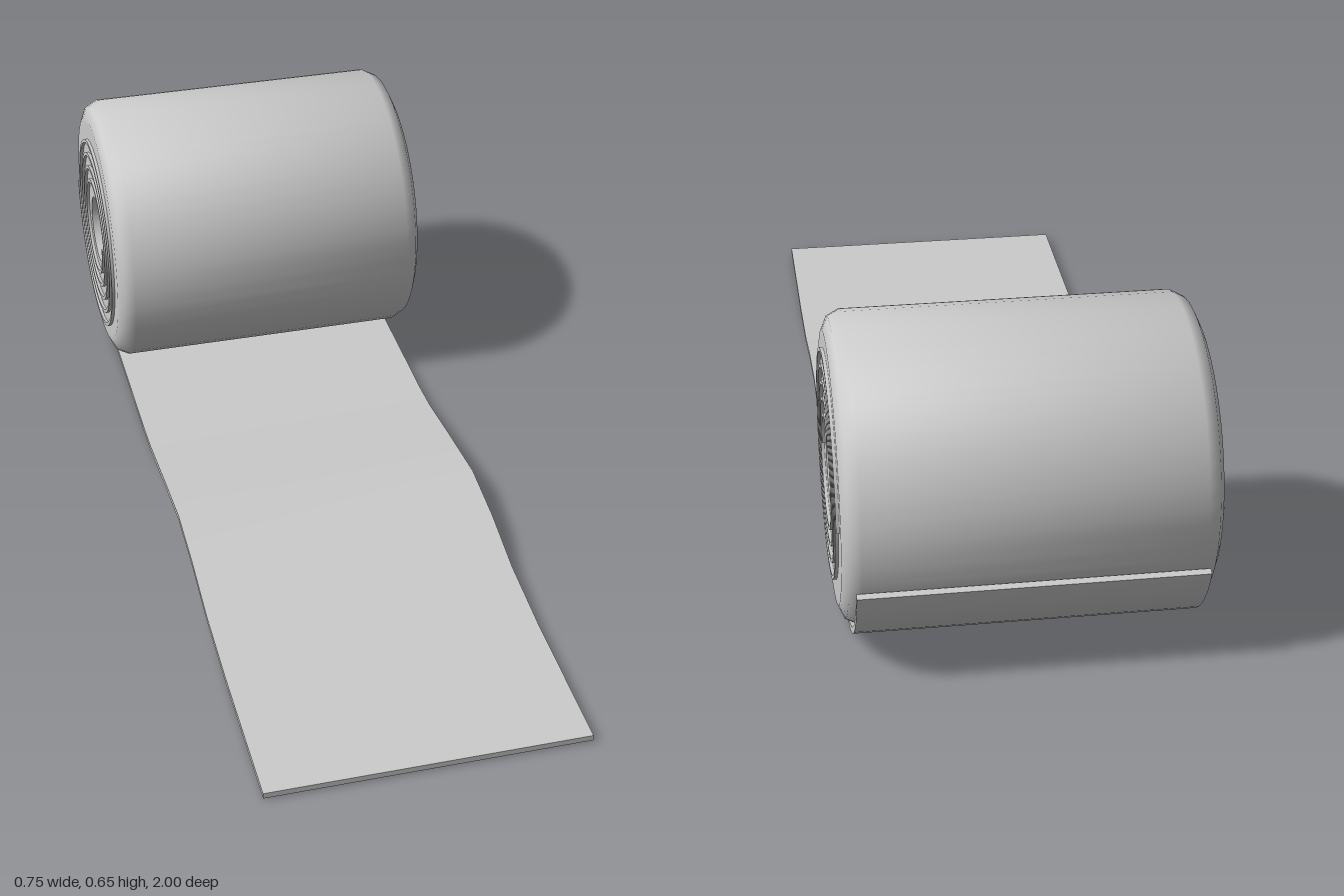
import * as THREE from 'three';
import { toCreasedNormals } from 'three/addons/utils/BufferGeometryUtils.js';

const ROLL_Y = 0.335, ROLL_Z = -0.685;

// Band of even thickness following a path in the (z, y) plane, extruded along x and centred on it
function bandGeometry(path, thickness, width) {
  const upper = [], lower = [];
  path.forEach((p, i) => {
    const a = path[Math.max(i - 1, 0)], b = path[Math.min(i + 1, path.length - 1)];
    const d = b.clone().sub(a).normalize().multiplyScalar(thickness / 2);
    upper.push(new THREE.Vector2(p.x - d.y, p.y + d.x));
    lower.unshift(new THREE.Vector2(p.x + d.y, p.y - d.x));
  });
  const geo = new THREE.ExtrudeGeometry(new THREE.Shape([...upper, ...lower]), { depth: width, bevelEnabled: false });
  geo.translate(0, 0, -width / 2).rotateY(-Math.PI / 2);
  return toCreasedNormals(geo, 0.6);
}

export function createModel() {
  const group = new THREE.Group();
  const material = new THREE.MeshStandardMaterial({ color: 0xcccccc });
  const add = (name, geo, parent) => {
    const mesh = new THREE.Mesh(geo, material);
    mesh.name = name;
    parent.add(mesh);
    return mesh;
  };

  const roll = new THREE.Group();
  roll.name = 'roll';
  roll.position.set(0, ROLL_Y, ROLL_Z);
  group.add(roll);

  // Hollow roll with chamfered rims: half profile (radius, distance along axis), mirrored
  const half = [[0.08, 0.37], [0.262, 0.37], [0.275, 0.37], [0.302, 0.358], [0.315, 0.333]];
  const profile = [
    ...half.map(([r, x]) => new THREE.Vector2(r, -x)),
    ...half.slice().reverse().map(([r, x]) => new THREE.Vector2(r, x)),
    new THREE.Vector2(0.08, -0.37),
  ];
  const body = new THREE.LatheGeometry(profile, 48).rotateZ(-Math.PI / 2);
  add('rollBody', toCreasedNormals(body, 0.7), roll);

  // Raised spiral on each end, showing the wound layers
  const spiral = [], steps = 144;
  for (let i = 0; i <= steps; i++) {
    const t = i / steps, a = t * 9 * Math.PI, r = 0.1 + 0.147 * t;
    spiral.push(new THREE.Vector2(r * Math.cos(a), r * Math.sin(a)));
  }
  const spiralGeo = bandGeometry(spiral, 0.008, 0.017).translate(0.3685, 0, 0);
  add('spiralLeft', spiralGeo, roll);
  add('spiralRight', spiralGeo, roll).rotation.z = Math.PI;

  // Unrolled sheet: wavy run along the ground, then up around the back of the roll
  const path = [
    [1, 0.011], [0.85, 0.011], [0.65, 0.012], [0.46, 0.025], [0.31, 0.056], [0.16, 0.071],
    [-0.02, 0.045], [-0.18, 0.019], [-0.27, 0.013], [-0.5, 0.011],
  ].map(([z, y]) => new THREE.Vector2(z, y));
  for (let i = 0; i <= 12; i++) {
    const t = i / 12, a = t * 1.22, r = 0.328 - 0.005 * t;
    path.push(new THREE.Vector2(ROLL_Z - r * Math.sin(a), ROLL_Y - r * Math.cos(a)));
  }
  add('sheet', bandGeometry(path, 0.013, 0.69), group);

  return group;
}
